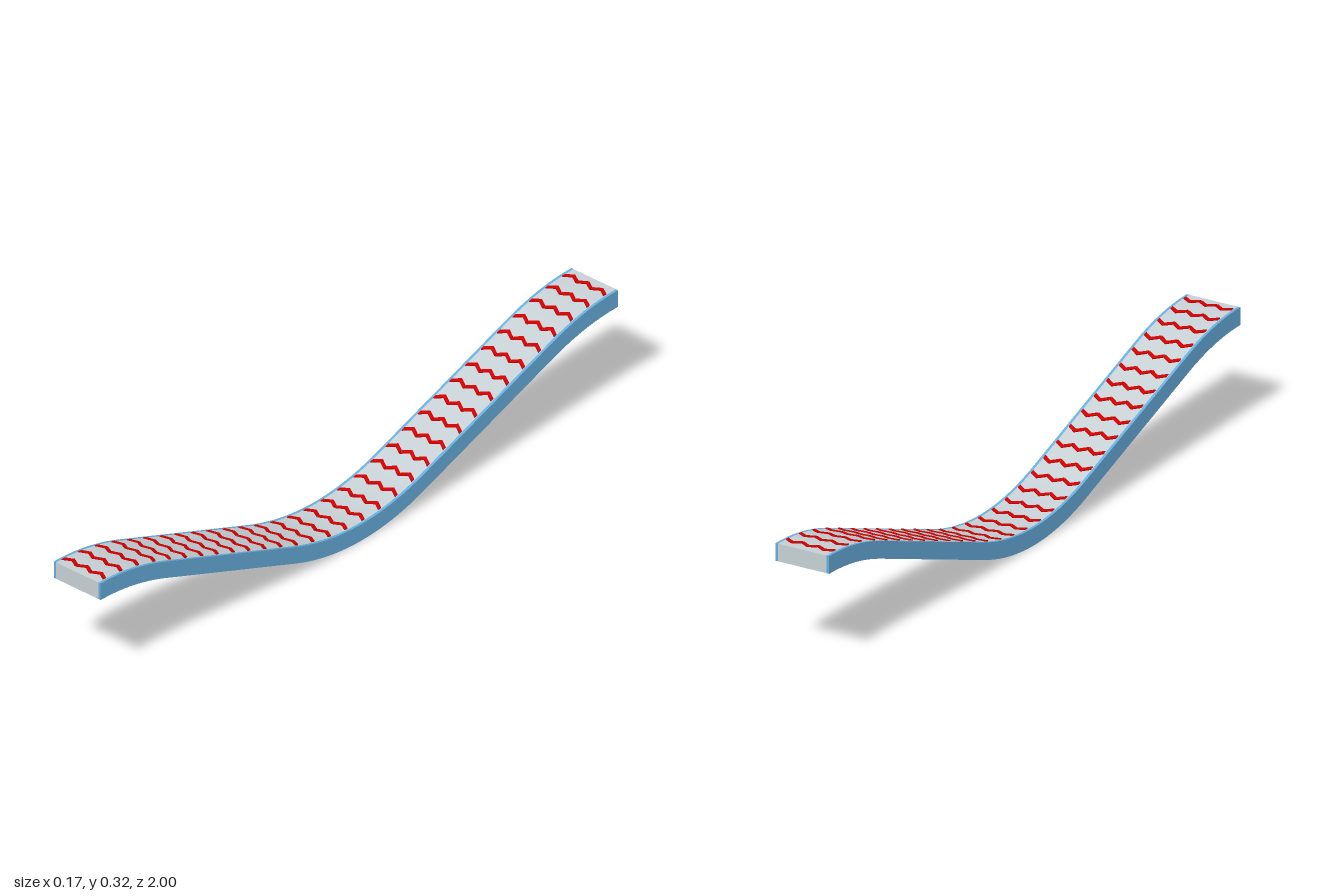
import * as THREE from 'three';

const BEND = 0.25, SLOPE = 0.36, THICK = 0.05;

// height of the underside: level at the middle and ends, straight ramps between
function height(z) {
  const a = Math.abs(z), k = SLOPE / (2 * BEND);
  if (a < BEND) return k * a * a;
  if (a < 1 - BEND) return k * BEND * BEND + SLOPE * (a - BEND);
  return 0.27 - k * (1 - a) ** 2;
}

function slope(z) {
  return (height(z + 0.001) - height(z - 0.001)) / 0.002;
}

// strip following the profile, from x0 to x1
function strip(x0, x1, material, name) {
  const n = 80, lower = [], upper = [];
  for (let i = 0; i <= n; i++) {
    const z = -1 + (2 * i) / n;
    lower.push(new THREE.Vector2(z, height(z)));
    upper.unshift(new THREE.Vector2(z, height(z) + THICK));
  }
  const geo = new THREE.ExtrudeGeometry(new THREE.Shape([...lower, ...upper]), {
    depth: x1 - x0, bevelEnabled: false,
  });
  geo.rotateY(-Math.PI / 2).translate(x1, 0, 0);
  const mesh = new THREE.Mesh(geo, material);
  mesh.name = name;
  return mesh;
}

// positions spaced evenly by length along the curve
function evenStations(count) {
  const points = [];
  for (let i = 0; i <= 1000; i++) {
    const z = -1 + i / 500;
    points.push(new THREE.Vector2(z, height(z)));
  }
  const lengths = [0];
  for (let i = 1; i <= 1000; i++) lengths.push(lengths[i - 1] + points[i].distanceTo(points[i - 1]));
  return Array.from({ length: count }, (_, i) => {
    const target = (lengths[1000] * (i + 0.5)) / count;
    return points[lengths.findIndex((l) => l >= target)].x;
  });
}

export function createModel() {
  const grey = new THREE.MeshStandardMaterial({ name: 'deck grey', color: 0xc6d0d4 });
  const blue = new THREE.MeshStandardMaterial({ name: 'side blue', color: 0x66addc });
  const red = new THREE.MeshStandardMaterial({ name: 'chevron red', color: 0xd00000 });

  const model = new THREE.Group();
  model.name = 'curvedTrack';

  // deck and its two side rails
  model.add(strip(-0.075, 0.075, grey, 'deck'));
  model.add(strip(0.075, 0.083, blue, 'leftSide'));
  model.add(strip(-0.083, -0.075, blue, 'rightSide'));

  // one chevron plate, pointing to the back
  const w = 0.0235, rise = 0.007, half = 0.0058;
  const shape = new THREE.Shape([
    [-w, -rise - half], [0, rise - half], [w, -rise - half],
    [w, -rise + half], [0, rise + half], [-w, -rise + half],
  ].map(([x, y]) => new THREE.Vector2(x, y)));
  const chevronGeo = new THREE.ExtrudeGeometry(shape, { depth: 0.0035, bevelEnabled: false });
  chevronGeo.rotateX(-Math.PI / 2).translate(0, -0.0005, 0);

  // rows of three chevrons along the deck
  for (const z of evenStations(32)) {
    const row = new THREE.Group();
    row.name = 'chevronRow';
    for (const x of [-0.0495, 0, 0.0495]) {
      const chevron = new THREE.Mesh(chevronGeo, red);
      chevron.name = 'chevron';
      chevron.position.x = x;
      row.add(chevron);
    }
    row.position.set(0, height(z) + THICK, z);
    row.rotation.x = -Math.atan(slope(z));
    model.add(row);
  }
  return model;
}
